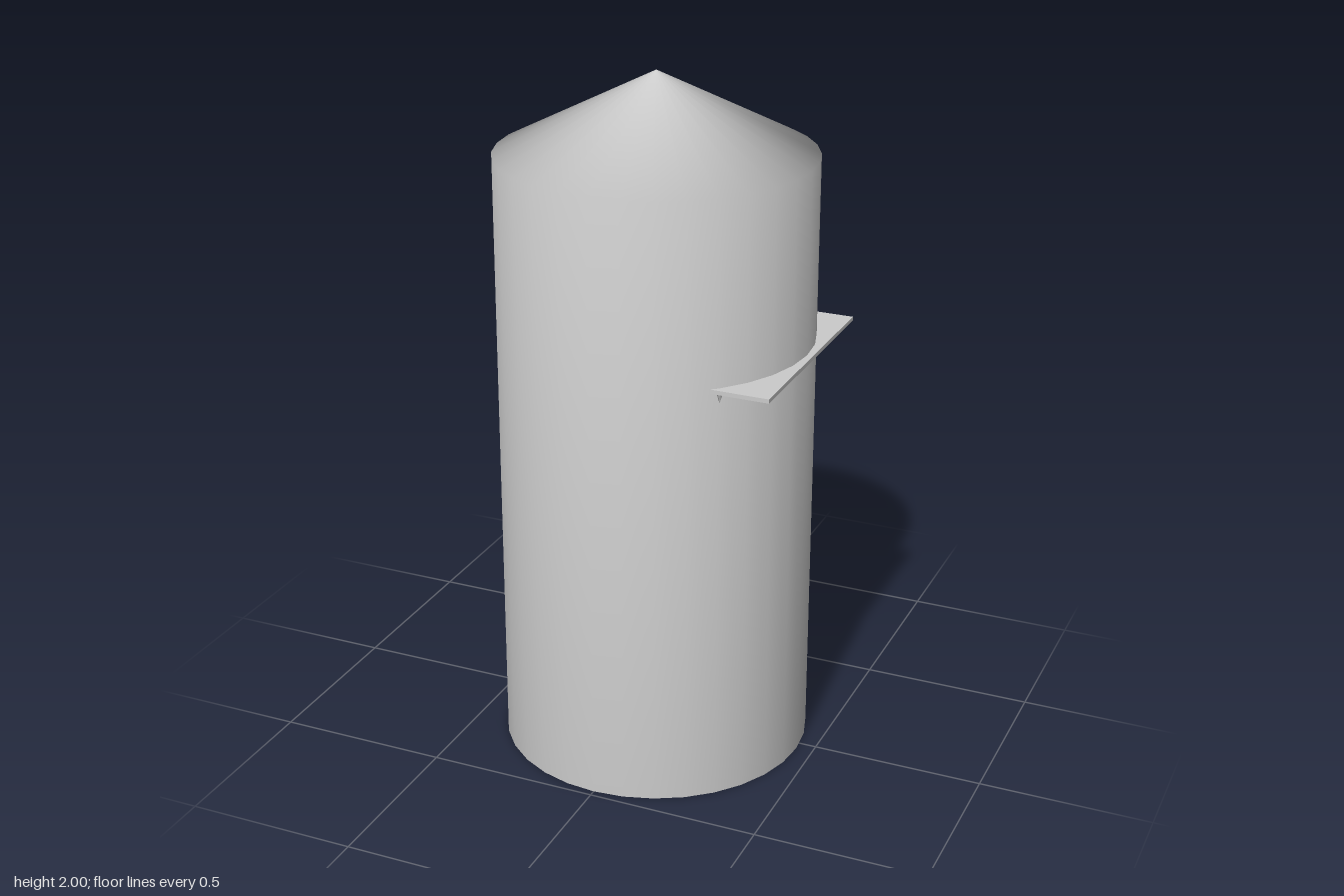
import * as THREE from 'three';

const R = 0.45;          // tank radius
const CENTER_Z = 0.03;   // tank axis

export function createModel() {
  const model = new THREE.Group();
  model.name = 'tank';
  const grey = new THREE.MeshStandardMaterial({ color: 0xcccccc });
  const thin = new THREE.MeshStandardMaterial({ color: 0xcccccc, side: THREE.DoubleSide });

  const add = (name, geometry, material = grey) => {
    const mesh = new THREE.Mesh(geometry, material);
    mesh.name = name;
    mesh.position.z = CENTER_Z;
    model.add(mesh);
    return mesh;
  };

  // wall and conical roof: one smooth shell, open at the bottom
  const profile = [[R, 0], [R, 1.77], [0, 2]].map(([x, y]) => new THREE.Vector2(x, y));
  add('wallAndRoof', new THREE.LatheGeometry(profile, 32), thin);

  // raised inner floor
  const floor = new THREE.CircleGeometry(R - 0.005, 32).rotateX(Math.PI / 2);
  add('innerFloor', floor, thin).position.y = 0.49;

  // flat ledge whose inner edge follows the curved wall
  const ledge = (name, halfWidth, reach, y, turn) => {
    const a = Math.asin(halfWidth / R);
    const shape = new THREE.Shape();
    shape.moveTo(reach, -halfWidth);
    shape.lineTo(reach, halfWidth);
    shape.lineTo(R * Math.cos(a), halfWidth);
    shape.absarc(0, 0, R - 0.002, a, -a, true);
    const geometry = new THREE.ExtrudeGeometry(shape, { depth: 0.012, bevelEnabled: false, curveSegments: 10 });
    geometry.rotateX(-Math.PI / 2).rotateY(turn);
    add(name, geometry).position.y = y;
  };
  ledge('leftLedge', 0.335, 0.467, 1.236, 0);
  ledge('rightLedge', 0.072, 0.47, 1.494, Math.PI);
  ledge('backLedge', 0.088, 0.513, 0.234, Math.PI / 2);

  // small pointed peg under the front corner of the left ledge
  const peg = add('ledgePeg', new THREE.ConeGeometry(0.01, 0.03, 4).rotateX(Math.PI));
  peg.position.set(0.322, 1.222, 0.35);

  return model;
}
